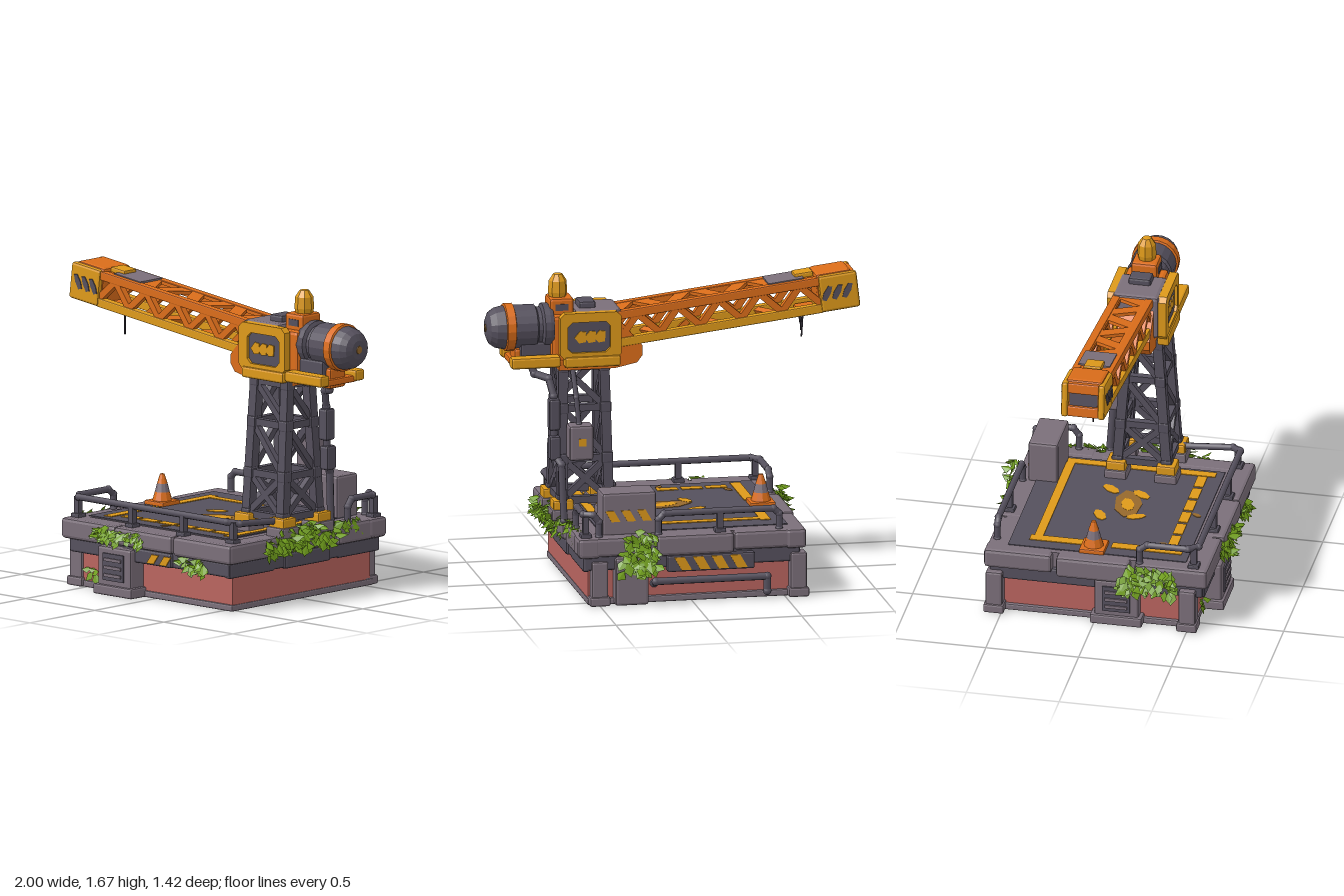
import * as THREE from 'three';
import { RoundedBoxGeometry } from 'three/addons/geometries/RoundedBoxGeometry.js';

const V = (x, y, z) => new THREE.Vector3(x, y, z);

export function createModel() {
  const root = new THREE.Group();
  root.name = 'craneOnPlatform';
  const mat = (name, color) => { const m = new THREE.MeshStandardMaterial({ color }); m.name = name; return m; };
  const yellow = mat('yellow paint', 0xdd991a), orange = mat('orange paint', 0xdb6d1a);
  const grey = mat('warm grey', 0x7b6f7a), dark = mat('dark steel', 0x55505d);
  const red = mat('red wall', 0xb9645f), green = mat('leaf green', 0x6f9c1c), black = mat('soot', 0x35313a);
  const worn = mat('worn ochre paint', 0x96692c);
  green.side = THREE.DoubleSide;
  let seed = 7;
  const rnd = (a = 0, b = 1) => { seed = (seed * 16807) % 2147483647; return a + (b - a) * seed / 2147483647; };

  const add = (name, geo, m, parent = root) => {
    const mesh = new THREE.Mesh(geo, m); mesh.name = name; parent.add(mesh); return mesh;
  };
  const flat = (g) => { const n = g.index ? g.toNonIndexed() : g; n.computeVertexNormals(); return n; };
  // Box from its extents, chamfered by c
  const box = (name, m, x0, x1, y0, y1, z0, z1, c = 0, parent = root) => {
    const s = [x1 - x0, y1 - y0, z1 - z0];
    const g = c ? flat(new RoundedBoxGeometry(...s, 1, c)) : new THREE.BoxGeometry(...s);
    const o = add(name, g, m, parent);
    o.position.set((x0 + x1) / 2, (y0 + y1) / 2, (z0 + z1) / 2);
    return o;
  };
  // Square bar (or round pipe) between two points
  const bar = (name, m, a, b, w, parent = root, round = false) => {
    const d = b.clone().sub(a), l = d.length();
    const o = add(name, round ? new THREE.CylinderGeometry(w, w, l, 8) : new THREE.BoxGeometry(w, l, w), m, parent);
    o.position.copy(a).add(b).multiplyScalar(0.5);
    o.quaternion.setFromUnitVectors(V(0, 1, 0), d.normalize());
    return o;
  };
  const pipe = (name, m, pts, r, parent = root) => {
    const g = new THREE.Group(); g.name = name; parent.add(g);
    pts.forEach((p, i) => {
      if (i) bar(name + 'Run', m, pts[i - 1], p, r, g, true);
      add(name + 'Joint', new THREE.SphereGeometry(r * 1.15, 8, 6), m, g).position.copy(p);
    });
  };
  const poly = (pts) => new THREE.Shape(pts.map(([x, y]) => new THREE.Vector2(x, y)));
  const plate = (name, m, shape, z0, z1, parent = root) => {
    const g = new THREE.ExtrudeGeometry(shape, { depth: z1 - z0, bevelEnabled: false });
    return add(name, g.translate(0, 0, z0), m, parent);
  };

  // Base walls, kerb and corner columns
  box('redWall', red, -0.55, 0.555, 0.01, 0.22, -0.53, 0.53);
  box('kerb', grey, -0.57, 0.56, 0, 0.035, -0.55, 0.54, 0.008);
  for (const [x, z] of [[-0.57, -0.54], [-0.57, 0.5], [0.5, -0.54]]) {
    box('cornerColumn', grey, x - 0.045, x + 0.045, 0, 0.24, z - 0.045, z + 0.045, 0.012);
    box('columnFoot', grey, x - 0.055, x + 0.055, 0, 0.05, z - 0.055, z + 0.055, 0.01);
  }
  // Vent housings on the front and on the -x side
  const vent = (x, z, turn) => {
    const g = new THREE.Group(); g.name = 'ventHousing'; g.position.set(x, 0, z); g.rotation.y = turn; root.add(g);
    box('ventBody', grey, -0.12, 0.12, 0, 0.26, -0.1, 0.07, 0.014, g);
    box('ventFoot', grey, -0.14, 0.14, 0, 0.055, -0.1, 0.085, 0.01, g);
    box('ventOpening', dark, -0.075, 0.075, 0.08, 0.225, 0.07, 0.078, 0, g);
    for (let i = 0; i < 3; i++) box('ventSlat', grey, -0.06, 0.06, 0.1 + i * 0.042, 0.117 + i * 0.042, 0.075, 0.085, 0, g);
  };
  vent(-0.21, 0.56, 0);
  vent(-0.54, 0.12, -Math.PI / 2);
  box('backPillar', grey, 0.24, 0.42, 0, 0.26, -0.6, -0.5, 0.014);

  // Platform: dark skirt, staggered rim blocks and floor panel
  box('skirt', dark, -0.58, 0.59, 0.19, 0.28, -0.57, 0.58, 0.012);
  box('deckCore', grey, -0.56, 0.57, 0.25, 0.368, -0.55, 0.56);
  const cuts = [-0.61, -0.22, 0.2, 0.62];
  for (let i = 0; i < 3; i++) {
    const a = cuts[i], b = cuts[i + 1], k = [0, 0.012, 0.004][i];
    box('rimFront', grey, a, b, 0.26 + k, 0.37, 0.48, 0.612 + k, 0.018);
    box('rimBack', grey, a, b, 0.27 - k, 0.37, -0.59 - k, -0.46, 0.018);
    box('rimRight', grey, 0.5, 0.615 + k, 0.26 + k, 0.37, a + 0.015, b - 0.01, 0.018);
    box('rimLeft', grey, -0.61 - k, -0.5, 0.265 - k, 0.37, a + 0.015, b - 0.01, 0.018);
    box('skirtBlockRight', dark, 0.55, 0.59 + k, 0.185, 0.27, a + 0.04, b - 0.03, 0.012);
    box('skirtBlockFront', dark, a + 0.04, b - 0.03, 0.19, 0.27, 0.55, 0.59 + k / 2, 0.012);
  }
  box('floorPanel', dark, -0.53, 0.475, 0.366, 0.374, -0.48, 0.48);
  const paint = (x0, x1, z0, z1) => box('floorMarking', yellow, x0, x1, 0.373, 0.378, z0, z1);
  paint(-0.46, -0.405, -0.38, -0.09);
  paint(-0.46, -0.405, 0.06, 0.44);
  paint(0.405, 0.455, -0.36, 0.44);
  paint(-0.405, 0.405, -0.362, -0.315);
  for (let i = 0; i < 6; i++) paint(-0.375 + i * 0.132, -0.262 + i * 0.132, 0.348, 0.4);
  // Worn emblem patches in the middle of the floor
  for (const [x, z, r, t, m] of [[0.03, 0.05, 0.15, 0.15, worn], [-0.12, -0.07, 0.06, 0.5, yellow], [-0.1, 0.12, 0.055, 2, yellow], [0.17, -0.07, 0.06, 4, yellow],
    [0.02, 0.05, 0.07, 0.3, yellow], [0.14, 0.1, 0.06, 0.9, yellow], [-0.02, 0.43, 0.03, 1, worn], [-0.37, 0.31, 0.035, 2, worn]]) {
    const o = add('wornPatch', new THREE.CylinderGeometry(r, r, 0.004, 7), m);
    o.scale.z = 0.5; o.rotation.y = t; o.position.set(x, m === worn ? 0.3745 : 0.3755, z);
  }
  // Hazard stripes on the skirt; dir is the outward z
  const hazard = (x0, n, y0, y1, z, dir, step = 0.075) => {
    for (let i = 0; i < n; i++) {
      const x = x0 + i * step, w = step * 0.55, lean = step * 0.4;
      plate('hazardStripe', yellow, poly([[x, y0], [x + w, y0], [x + w + lean, y1], [x + lean, y1]]), dir > 0 ? z : z - 0.006, dir > 0 ? z + 0.006 : z);
    }
  };
  hazard(0, 2, 0.2, 0.25, 0.597, 1, 0.09);
  box('backPanel', dark, -0.33, 0.14, 0.17, 0.26, -0.6, -0.54, 0.01);
  hazard(-0.29, 4, 0.18, 0.25, -0.6, -1, 0.1);
  pipe('wallPipe', dark, [V(0.2, 0.1, -0.53), V(0.2, 0.12, -0.58), V(-0.4, 0.12, -0.58), V(-0.4, 0.04, -0.58)], 0.02);

  // Railings with posts
  const rail = (pts, posts) => {
    pipe('railing', dark, pts.map(([x, y, z]) => V(x, y, z)), 0.018);
    for (const [x, z] of posts) {
      bar('railPost', dark, V(x, 0.36, z), V(x, 0.48, z), 0.032);
      box('postFoot', dark, x - 0.03, x + 0.03, 0.365, 0.39, z - 0.03, z + 0.03, 0.006);
    }
  };
  rail([[-0.58, 0.37, 0.24], [-0.58, 0.45, 0.24], [-0.58, 0.48, 0.28], [-0.58, 0.48, 0.5], [-0.54, 0.48, 0.55], [0.53, 0.48, 0.55],
    [0.58, 0.47, 0.5], [0.58, 0.45, 0.24], [0.58, 0.42, 0.2], [0.58, 0.37, 0.2]], [[-0.56, 0.53], [-0.15, 0.55], [0.22, 0.55], [0.56, 0.53]]);
  rail([[-0.47, 0.37, -0.55], [-0.47, 0.45, -0.55], [-0.44, 0.48, -0.55], [0.15, 0.48, -0.55], [0.18, 0.45, -0.55], [0.18, 0.37, -0.55]], [[-0.15, -0.55]]);
  rail([[0.5, 0.37, -0.55], [0.5, 0.45, -0.55], [0.53, 0.49, -0.55], [0.58, 0.49, -0.52], [0.58, 0.49, -0.36], [0.58, 0.45, -0.33], [0.58, 0.37, -0.33]], [[0.57, -0.54]]);

  // Control cabinet and traffic cone
  box('cabinet', grey, 0.185, 0.475, 0.36, 0.595, -0.522, -0.362, 0.014);
  hazard(0.21, 3, 0.44, 0.5, -0.522, -1, 0.085);
  box('coneFoot', orange, -0.545, -0.41, 0.37, 0.395, -0.095, 0.04, 0.006);
  [[0.055, 0.04, 0.05, orange], [0.04, 0.028, 0.045, grey], [0.028, 0.012, 0.05, orange]].forEach(([a, b, h, m], i) =>
    add('coneBand', flat(new THREE.CylinderGeometry(b, a, h, 10)), m).position.set(-0.478, 0.415 + i * 0.0475, -0.028));

  // Lattice tower, tapering upwards
  const corner = (sx, sz, y) => {
    const t = (y - 0.42) / 0.78;
    return V(0.478 + sx * (0.125 - 0.015 * t), y, 0.06 + sz * (0.135 - 0.055 * t));
  };
  const ring = [[-1, -1], [1, -1], [1, 1], [-1, 1]], levels = [0.46, 0.68, 0.95, 1.17];
  ring.forEach(([sx, sz], i) => {
    const [tx, tz] = ring[(i + 1) % 4], f = corner(sx, sz, 0.42);
    box('footBlock', grey, f.x - 0.065, f.x + 0.065, 0.36, 0.42, f.z - 0.06, f.z + 0.06, 0.01);
    box('towerFoot', yellow, f.x - 0.055, f.x + 0.055, 0.41, 0.468, f.z - 0.052, f.z + 0.052, 0.01);
    bar('towerLeg', dark, f, corner(sx, sz, 1.2), 0.052);
    levels.forEach((y, k) => {
      bar('towerTie', dark, corner(sx, sz, y), corner(tx, tz, y), 0.038);
      const j = corner(sx, sz, y);
      box('towerJoint', dark, j.x - 0.03, j.x + 0.03, y - 0.03, y + 0.03, j.z - 0.03, j.z + 0.03, 0.008);
      if (k === 3) return;
      bar('towerBrace', dark, corner(sx, sz, y), corner(tx, tz, levels[k + 1]), 0.034);
      if (k === 0) bar('towerBrace', dark, corner(tx, tz, y), corner(sx, sz, levels[k + 1]), 0.034);
    });
  });
  // Junction box and conduits at the tower back
  box('junctionBox', grey, 0.45, 0.58, 0.69, 0.88, -0.17, -0.07, 0.014);
  box('junctionMark', yellow, 0.49, 0.53, 0.77, 0.81, -0.175, -0.17);
  pipe('conduit', dark, [V(0.76, 1.2, 0), V(0.74, 1.14, -0.02), V(0.67, 1.12, -0.06), V(0.65, 1.03, -0.09), V(0.65, 0.72, -0.1), V(0.62, 0.67, -0.15), V(0.61, 0.37, -0.17)], 0.02);
  box('conduitSleeve', dark, 0.62, 0.68, 0.85, 1.02, -0.13, -0.06, 0.012);
  box('conduitSleeve', dark, 0.62, 0.68, 0.69, 0.82, -0.14, -0.07, 0.012);
  pipe('thinConduit', dark, [V(0.52, 0.88, -0.12), V(0.53, 1.02, -0.1), V(0.54, 1.18, -0.04)], 0.014);

  // Machine house
  plate('houseBracket', orange, poly([[0.17, 1.23], [0.2, 1.19], [0.32, 1.165], [0.62, 1.165], [0.62, 1.3], [0.33, 1.43], [0.29, 1.42], [0.17, 1.28]]), -0.085, 0.135);
  box('houseBody', grey, 0.28, 0.53, 1.24, 1.485, -0.09, 0.16, 0.02);
  box('houseRear', orange, 0.5, 0.66, 1.22, 1.46, -0.08, 0.14, 0.02);
  box('roofHatch', dark, 0.41, 0.5, 1.475, 1.52, -0.03, 0.09, 0.012);
  const cut = (x0, x1, y0, y1, c) => [[x0 + c, y0], [x1 - c, y0], [x1, y0 + c], [x1, y1 - c], [x1 - c, y1], [x0 + c, y1], [x0, y1 - c], [x0, y0 + c]];
  for (const s of [1, -1]) {
    const g = new THREE.Group(); g.name = 'housePanel'; root.add(g);
    g.position.set(0.455, 0, 0.04 + s * 0.115); if (s < 0) g.rotation.y = Math.PI;
    const frame = poly(cut(-0.165, 0.165, 1.23, 1.48, 0.025));
    frame.holes.push(new THREE.Path(cut(-0.105, 0.125, 1.265, 1.43, 0.025).reverse().map(([x, y]) => new THREE.Vector2(x * s, y))));
    plate('panelFrame', yellow, frame, 0, 0.045, g);
    box('panelInset', dark, -0.13, 0.13, 1.26, 1.435, 0, 0.03, 0, g);
    for (let i = -1; i < 2; i++) plate('panelMark', yellow, poly([[-0.035, 1.345], [-0.01, 1.315], [0.025, 1.32], [0.028, 1.375], [-0.005, 1.38]].map(([x, y]) => [x + i * 0.052, y])), 0.03, 0.037, g);
    box('sideBeam', yellow, -0.14, 0.16, 1.185, 1.245, -0.01, 0.055, 0.012, g);
  }
  // Rear ledge, motor and beacon
  for (const z of [-0.14, 0.13]) box('ledgeRail', yellow, 0.62, 0.885, 1.195, 1.255, z, z + 0.07, 0.012);
  box('ledge', orange, 0.6, 0.87, 1.19, 1.225, -0.09, 0.15, 0.008);
  box('ledgeEnd', orange, 0.78, 0.85, 1.17, 1.28, -0.03, 0.09, 0.012);
  box('motorCradle', dark, 0.64, 0.82, 1.22, 1.32, -0.06, 0.12, 0.012);
  const lathe = (pts, n) => flat(new THREE.LatheGeometry(pts.map(([r, h]) => new THREE.Vector2(r, h)), n));
  const round = (name, m, pts, x) => {
    const o = add(name, lathe(pts, 18), m);
    o.rotation.z = -Math.PI / 2; o.position.set(x, 1.39, 0.022);
  };
  round('motor', dark, [[0, 0], [0.115, 0], [0.12, 0.02], [0.12, 0.05], [0.1, 0.06], [0.1, 0.08], [0.116, 0.09], [0.116, 0.26], [0.106, 0.305], [0.085, 0.335], [0.05, 0.35], [0, 0.352]], 0.643);
  round('motorBand', orange, [[0.11, 0], [0.127, 0.006], [0.127, 0.05], [0.11, 0.056]], 0.845);
  round('motorCap', worn, [[0.022, 0], [0.02, 0.005], [0, 0.005]], 0.992);
  box('beaconMount', orange, 0.53, 0.66, 1.44, 1.545, -0.04, 0.1, 0.014);
  for (const z of [-0.044, 0.1]) box('mountSlot', dark, 0.56, 0.63, 1.48, 1.515, z, z + 0.005);
  add('beacon', lathe([[0.045, 0], [0.052, 0.03], [0.048, 0.09], [0.025, 0.125], [0, 0.13]], 8), yellow).position.set(0.605, 1.54, 0.03);

  // Jib, tilted up towards its tip; built along local -x
  const jib = new THREE.Group(); jib.name = 'jib'; root.add(jib);
  jib.position.set(0.3, 1.38, 0.02); jib.rotation.z = -0.12;
  const L = 1.1, N = 5, step = L / N;
  for (const s of [-1, 1]) {
    const z = s * 0.088;
    box('upperChord', orange, -L, 0.02, 0.045, 0.092, z - 0.022, z + 0.022, 0.006, jib);
    box('lowerChord', yellow, -L, 0.02, -0.102, -0.054, z - 0.023, z + 0.023, 0.006, jib);
    for (let i = 0; i < N; i++) {
      const a = -i * step, m = a - step / 2;
      bar('jibBrace', orange, V(a, -0.06, z), V(m, 0.06, z), 0.036, jib);
      bar('jibBrace', orange, V(m, 0.06, z), V(a - step, -0.06, z), 0.036, jib);
    }
  }
  // Top plate with alternating triangular openings, bottom braces under its solid webs
  const top = poly([[-L, -0.09], [0, -0.09], [0, 0.09], [-L, 0.09]]);
  for (let i = 0; i < 5; i++) {
    const x = -0.05 - i * 0.155, s = i % 2 ? -1 : 1, c = x - 0.1475;
    top.holes.push(new THREE.Path([[x, 0.06 * s], [x - 0.14, 0.06 * s], [x - 0.07, -0.06 * s]].map(([a, b]) => new THREE.Vector2(a, b))));
    bar('jibCrossBrace', orange, V(c - 0.045, -0.078, -0.08 * s), V(c + 0.045, -0.078, 0.08 * s), 0.03, jib);
  }
  plate('jibTop', orange, top, 0.07, 0.088, jib).rotation.x = -Math.PI / 2;
  box('jibTopCover', grey, -1.02, -0.83, 0.086, 0.098, -0.085, 0.085, 0, jib);
  box('jibClamp', yellow, -1.08, -0.98, 0.085, 0.115, -0.045, 0.05, 0.008, jib);

  // Jib tip with striped side plates, recessed end and hanging cables
  box('tipCore', orange, -1.275, -1.08, -0.09, 0.108, -0.1, 0.1, 0.018, jib);
  for (const s of [-1, 1]) {
    box('tipSide', yellow, -1.3, -1.09, -0.1, 0.098, s > 0 ? 0.08 : -0.118, s > 0 ? 0.118 : -0.08, 0.014, jib);
    for (let i = 0; i < 3; i++) {
      const x = -1.27 + i * 0.055;
      plate('tipStripe', dark, poly([[x, 0.035], [x + 0.012, 0], [x + 0.04, -0.038], [x + 0.062, -0.03], [x + 0.05, 0.005], [x + 0.022, 0.04]]), s > 0 ? 0.118 : -0.123, s > 0 ? 0.123 : -0.118, jib);
    }
    box('tipBar', orange, -1.295, -1.26, s * 0.065 - 0.03, s * 0.065 + 0.03, -0.085, 0.085, 0.008, jib);
  }
  box('tipRecess', dark, -1.281, -1.274, -0.05, 0.05, -0.075, 0.075, 0, jib);
  box('cableBracket', orange, -1.07, -0.97, -0.118, -0.07, -0.055, 0.055, 0.01, jib);
  for (let i = 0; i < 3; i++) bar('cable', black, V(-0.712 + i * 0.01, 1.4, 0.01 + i * 0.01), V(-0.705 + i * 0.002, 1.26 + i * 0.035, 0.017 + i * 0.003), 0.007);

  // Hanging plants: folded diamond leaves scattered in a volume, drooping, with their faces outwards
  const plant = (x0, x1, y0, y1, z0, z1, n, ox, oz) => {
    const pos = [];
    for (let i = 0; i < n; i++) {
      const p = V(rnd(x0, x1), rnd(y0, y1), rnd(z0, z1)), l = rnd(0.05, 0.085);
      const d = V(ox * rnd(0, 0.7) + rnd(-0.7, 0.7) * Math.abs(oz), rnd(-1.1, 0.1), oz * rnd(0, 0.7) + rnd(-0.7, 0.7) * Math.abs(ox)).normalize();
      const side = d.clone().cross(V(ox + rnd(-0.3, 0.3), 0.8, oz + rnd(-0.3, 0.3))).normalize().multiplyScalar(l * 0.34);
      const mid = p.clone().addScaledVector(d, l * 0.45).add(V(0, -0.008, 0)), tip = p.clone().addScaledVector(d, l);
      for (const v of [p, mid.clone().add(side), tip, p, tip, mid.clone().sub(side)]) pos.push(v.x, v.y + 0.01, v.z);
    }
    const g = new THREE.BufferGeometry();
    g.setAttribute('position', new THREE.Float32BufferAttribute(pos, 3));
    g.computeVertexNormals();
    add('plant', g, green);
  };
  plant(-0.33, -0.01, 0.31, 0.35, 0.61, 0.65, 65, 0, 1);
  plant(0.24, 0.44, 0.21, 0.27, 0.59, 0.62, 24, 0, 1);
  plant(-0.46, -0.42, 0.08, 0.1, 0.53, 0.55, 5, 0, 1);
  plant(0.6, 0.67, 0.3, 0.41, -0.15, 0.25, 125, 1, 0);
  plant(0.56, 0.61, 0.36, 0.385, -0.42, -0.18, 30, 1, 0);
  plant(0.62, 0.67, 0.29, 0.36, 0.24, 0.36, 18, 1, 0);
  plant(0.2, 0.38, 0.18, 0.4, -0.64, -0.58, 85, 0, -1);
  plant(-0.66, -0.61, 0.24, 0.37, 0.16, 0.43, 75, -1, 0);
  return root;
}
